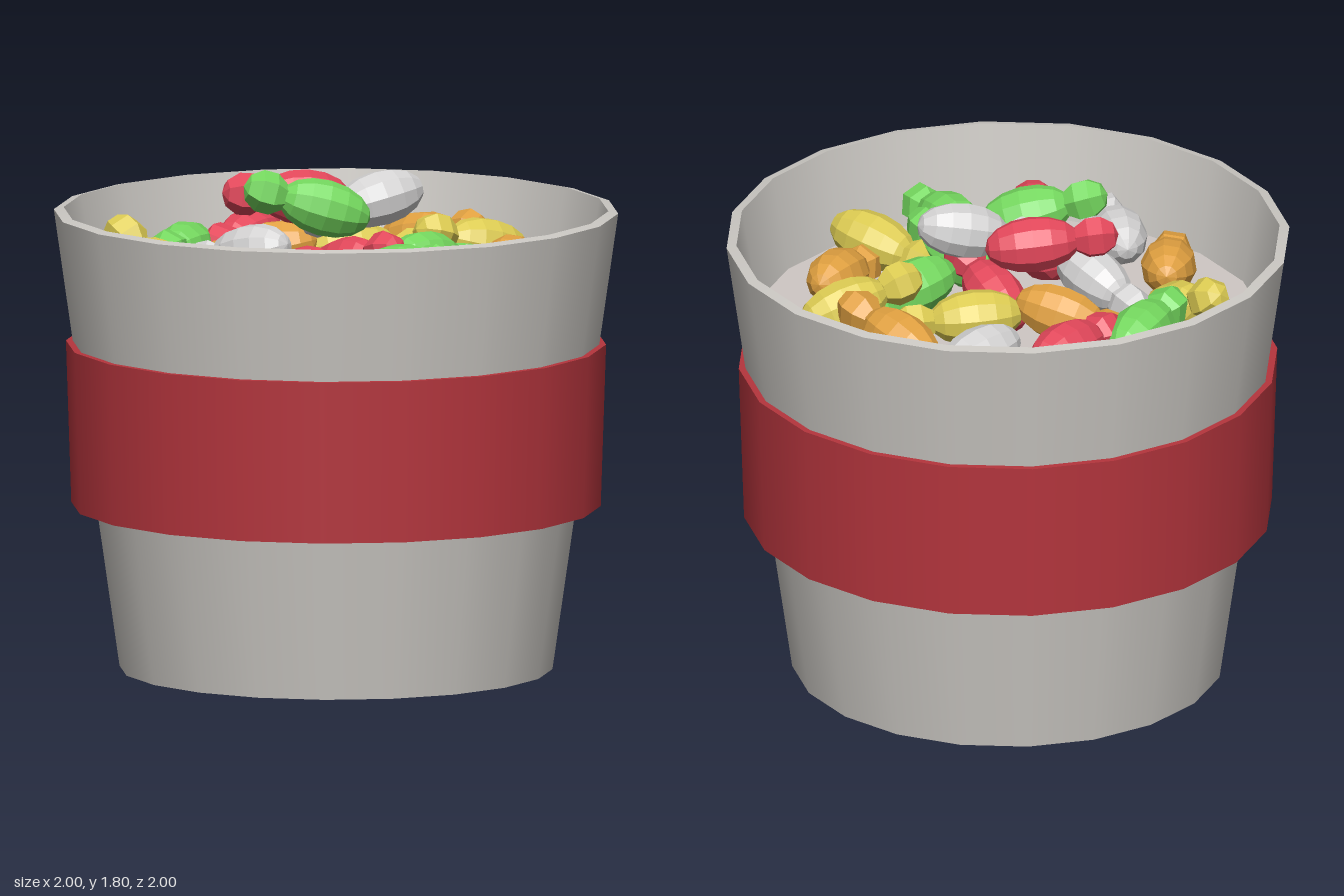
import * as THREE from 'three';

const paint = (name, color, extra = {}) => {
  const m = new THREE.MeshStandardMaterial({ color, ...extra });
  m.name = name;
  return m;
};

export function createModel() {
  const group = new THREE.Group();
  const grey = paint('bucketGrey', 0xcbc8c3);
  const floorGrey = paint('floorGrey', 0xcfc8c4);
  const bandRed = paint('bandRed', 0xb5353d);
  const flat = { flatShading: true };
  const colours = {
    red: paint('sweetRed', 0xe2475a, flat),
    green: paint('sweetGreen', 0x74d75e, flat),
    yellow: paint('sweetYellow', 0xdccb52, flat),
    orange: paint('sweetOrange', 0xe0a040, flat),
    white: paint('sweetWhite', 0xd3d2d2, flat),
  };
  const SIDES = 20;

  const add = (parent, name, geometry, material) => {
    const mesh = new THREE.Mesh(geometry, material);
    mesh.name = name;
    parent.add(mesh);
    return mesh;
  };

  // One smooth turned surface from (r0, y0) to (r1, y1); corners between surfaces stay crisp
  const turned = (name, material, r0, y0, r1, y1) =>
    add(group, name, new THREE.LatheGeometry(
      [new THREE.Vector2(r0, y0), new THREE.Vector2(r1, y1)], SIDES), material);

  // Bucket
  turned('bucketBase', grey, 0, 0, 0.767, 0);
  turned('bucketWall', grey, 0.767, 0, 1, 1.632);
  turned('bucketRim', grey, 1, 1.632, 0.965, 1.64);
  turned('bucketInnerWall', grey, 0.965, 1.64, 0.905, 1.3);
  turned('bucketFloor', floorGrey, 0.905, 1.3, 0, 1.3);

  // Band around the bucket
  turned('bandUnderside', bandRed, 0.84, 0.585, 0.938, 0.585);
  turned('bandWall', bandRed, 0.938, 0.585, 0.957, 1.163);
  turned('bandTop', bandRed, 0.957, 1.163, 0.92, 1.163);

  // Sweets: an oval body with a small round knob; body x, y, z then knob x, y, z
  const sweets = [
    ['red', -0.155, 1.46, -0.595, -0.295, 1.46, -0.46],
    ['white', 0.155, 1.45, -0.59, 0.33, 1.42, -0.705],
    ['green', -0.43, 1.45, -0.445, -0.54, 1.47, -0.29],
    ['orange', -0.16, 1.46, -0.295, -0.315, 1.42, -0.36],
    ['yellow', 0.14, 1.45, -0.27, 0.36, 1.44, -0.285],
    ['orange', 0.42, 1.45, -0.445, 0.555, 1.5, -0.285],
    ['yellow', 0.6, 1.46, -0.17, 0.395, 1.52, -0.11],
    ['white', 0.16, 1.67, -0.01, -0.06, 1.62, 0.02],
    ['red', -0.075, 1.665, -0.14, -0.295, 1.685, -0.14],
    ['green', -0.075, 1.665, 0.12, -0.28, 1.725, 0.095],
    ['white', -0.3, 1.49, -0.05, -0.415, 1.44, -0.195],
    ['yellow', -0.58, 1.41, -0.175, -0.68, 1.52, -0.34],
    ['orange', -0.585, 1.43, 0.15, -0.615, 1.39, 0.36],
    ['white', -0.43, 1.44, 0.41, -0.405, 1.42, 0.635],
    ['red', -0.15, 1.45, 0.27, -0.065, 1.43, 0.46],
    ['red', -0.155, 1.45, 0.59, -0.165, 1.42, 0.38],
    ['green', 0.155, 1.45, 0.57, 0.235, 1.43, 0.755],
    ['green', 0.15, 1.45, 0.27, 0.245, 1.49, 0.42],
    ['yellow', 0.44, 1.45, 0.42, 0.285, 1.41, 0.31],
    ['orange', 0.59, 1.44, 0.15, 0.49, 1.4, 0.33],
    ['green', 0.33, 1.45, 0.01, 0.49, 1.42, -0.09],
    ['red', 0.05, 1.43, -0.05, 0.14, 1.5, 0.14],
  ];
  const bodyGeometry = new THREE.SphereGeometry(1, 10, 8).scale(0.1, 0.17, 0.1);
  const knobGeometry = new THREE.SphereGeometry(1, 6, 5).scale(0.079, 0.085, 0.079);
  const up = new THREE.Vector3(0, 1, 0);

  sweets.forEach(([colour, bx, by, bz, kx, ky, kz], i) => {
    const sweet = new THREE.Group();
    sweet.name = `${colour}Sweet${i + 1}`;
    const body = new THREE.Vector3(bx, by, bz);
    const axis = new THREE.Vector3(kx, ky, kz).sub(body);
    sweet.position.copy(body);
    sweet.quaternion.setFromUnitVectors(up, axis.clone().normalize());
    add(sweet, 'body', bodyGeometry, colours[colour]);
    add(sweet, 'knob', knobGeometry, colours[colour]).position.y = axis.length();
    group.add(sweet);
  });

  return group;
}
